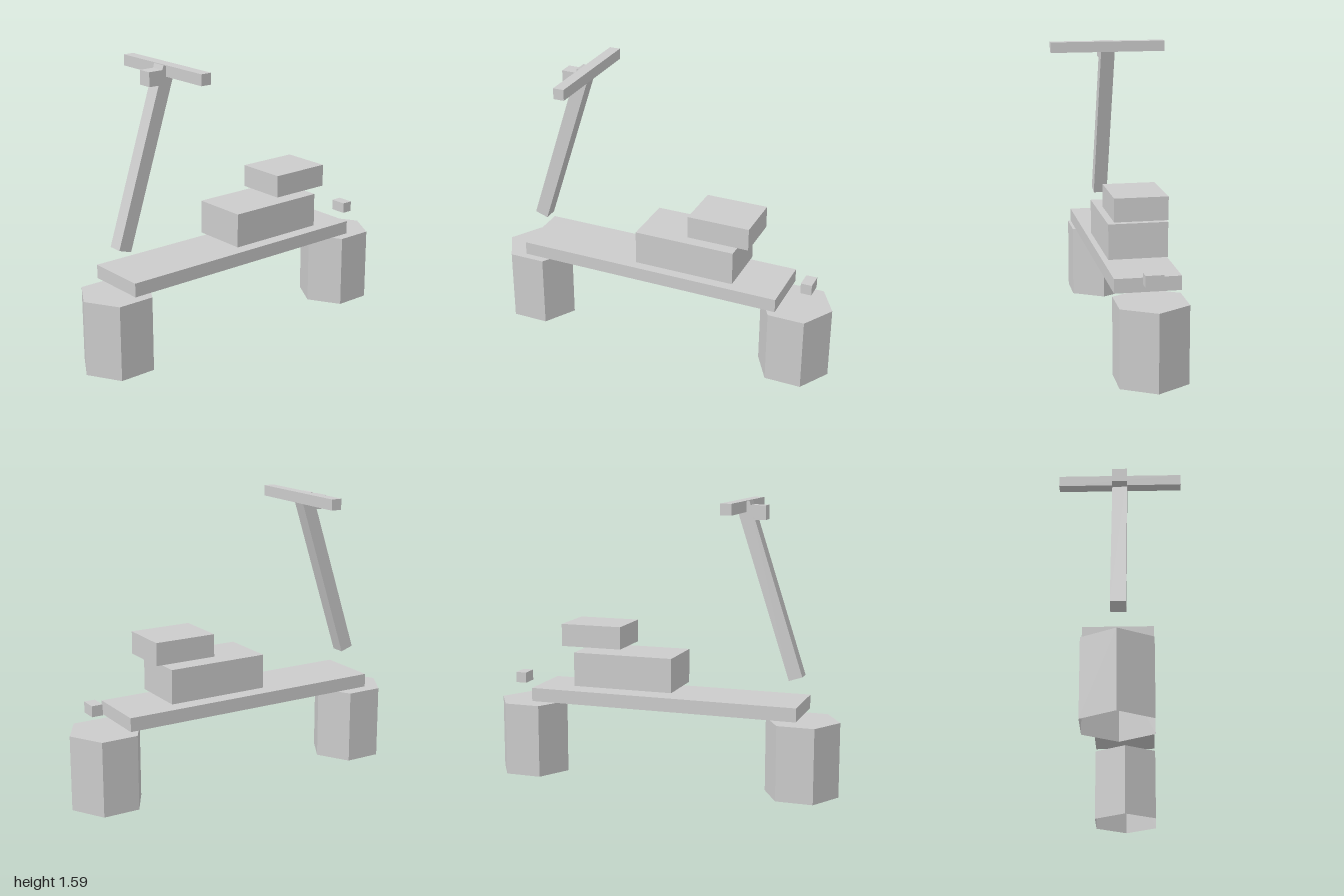
import * as THREE from 'three';

export function createModel() {
  const group = new THREE.Group();
  const grey = new THREE.MeshStandardMaterial({ color: 0xcccccc, flatShading: true, side: THREE.DoubleSide });
  grey.name = 'plain grey';

  function add(name, geometry, x, y, z) {
    const mesh = new THREE.Mesh(geometry, grey);
    mesh.name = name;
    mesh.position.set(x, y, z);
    group.add(mesh);
    return mesh;
  }

  // Box given by its width and its y and z ranges, centred on x = 0
  function box(name, width, y0, y1, z0, z1) {
    return add(name, new THREE.BoxGeometry(width, y1 - y0, z1 - z0), 0, (y0 + y1) / 2, (z0 + z1) / 2);
  }

  // Upright six-sided wheels, capped on top and open underneath
  const radius = 0.205, height = 0.415;
  for (const [name, z] of [['frontWheel', 0.795], ['rearWheel', -0.795]]) {
    add(name, new THREE.CylinderGeometry(radius, radius, height, 6, 1, true), 0, height / 2, z);
    const cap = new THREE.CircleGeometry(radius, 6, Math.PI / 2).rotateX(-Math.PI / 2);
    add(name + 'Top', cap, 0, height, z);
  }

  // Deck, body, seat and tail light
  box('deck', 0.35, 0.442, 0.518, -0.73, 0.797);
  box('body', 0.318, 0.545, 0.735, -0.475, 0.098);
  box('seat', 0.284, 0.765, 0.89, -0.555, -0.205);
  box('tailLight', 0.095, 0.515, 0.575, -0.89, -0.828);

  // Leaning steering column with handlebar and headlight
  const column = add('steeringColumn', new THREE.BoxGeometry(0.08, 0.982, 0.077), 0, 1.112, 0.608);
  column.rotation.x = -0.315;
  box('handlebar', 0.664, 1.53, 1.59, 0.417, 0.478);
  box('headlight', 0.08, 1.49, 1.567, 0.495, 0.583);

  return group;
}
